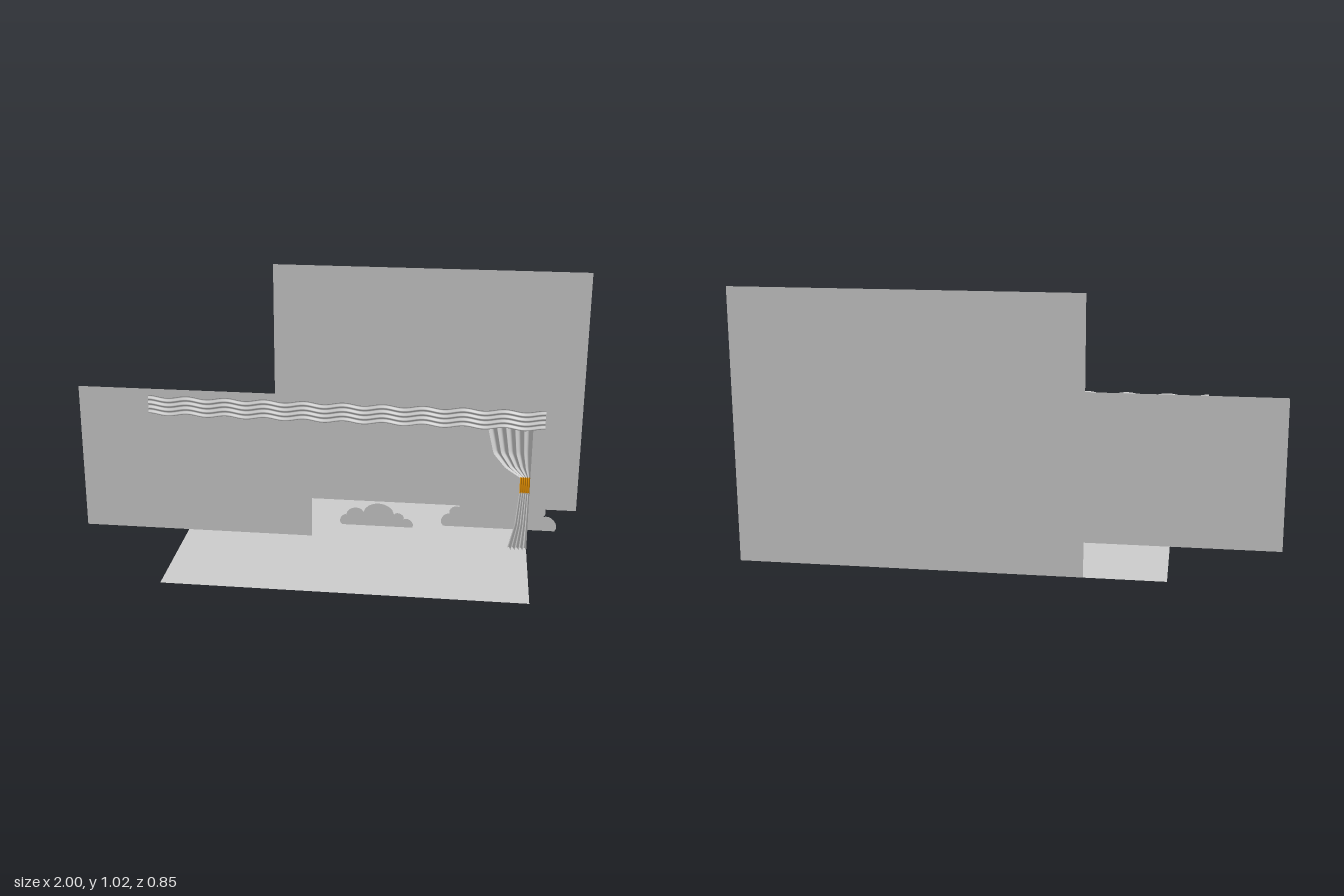
import * as THREE from 'three';

const grey = new THREE.MeshStandardMaterial({ color: 0xcccccc, side: THREE.DoubleSide });
const orange = new THREE.MeshStandardMaterial({ color: 0xe69100, side: THREE.DoubleSide });

function add(group, name, geometry, material = grey) {
  const mesh = new THREE.Mesh(geometry, material);
  mesh.name = name;
  group.add(mesh);
  return mesh;
}

// Upright flat panel from x0 to x1, standing on the floor
function panel(x0, x1, height, z) {
  return new THREE.PlaneGeometry(x1 - x0, height).translate((x0 + x1) / 2, height / 2, z);
}

// Sheet whose vertices come from a rule point(u, v), v running upwards
function sheet(nu, nv, point) {
  const geometry = new THREE.PlaneGeometry(1, 1, nu, nv);
  const pos = geometry.attributes.position;
  for (let i = 0; i < pos.count; i++) {
    pos.setXYZ(i, ...point(pos.getX(i) + 0.5, pos.getY(i) + 0.5));
  }
  geometry.computeVertexNormals();
  return geometry;
}

// Flat cloud: rounded lobes bulging outward between the valley points
function cloud(valleys, z) {
  const shape = new THREE.Shape();
  shape.moveTo(...valleys[0]);
  for (let i = 1; i < valleys.length; i++) {
    const [ax, ay] = valleys[i - 1], [bx, by] = valleys[i];
    const dx = bx - ax, dy = by - ay, b = 0.45;
    shape.bezierCurveTo(
      ax + dx * 0.1 - dy * b, ay + dy * 0.1 + dx * b,
      bx - dx * 0.1 - dy * b, by - dy * 0.1 + dx * b, bx, by);
  }
  shape.closePath();
  return new THREE.ShapeGeometry(shape, 8).translate(0, 0, z);
}

// Interpolates rows [y, left edge x, front z] smoothly along y
const rows = [
  [0, 0.705, -0.015], [0.1, 0.73, -0.022], [0.235, 0.743, -0.031], [0.3, 0.743, -0.031],
  [0.34, 0.685, -0.026], [0.4, 0.637, -0.019], [0.505, 0.612, -0.016], [0.555, 0.605, -0.016],
];
function rowAt(y) {
  let i = 1;
  while (i < rows.length - 1 && y > rows[i][0]) i++;
  const [a, b] = [rows[i - 1], rows[i]];
  const t = (y - a[0]) / (b[0] - a[0]);
  return [1, 2].map(k => a[k] + (b[k] - a[k]) * t);
}

// Pleated drape between two heights, its outer edge hanging straight
function drape(y0, y1, nv) {
  const right = 0.782, back = -0.041, folds = 5;
  return sheet(80, nv, (u, v) => {
    const y = y0 + (y1 - y0) * v;
    const [left, front] = rowAt(y);
    const phase = u * folds * Math.PI * 2;
    const x = left + (right - left) * (u - 0.02 * Math.sin(phase));
    return [x, y, back + (front - back) * (0.5 + 0.5 * Math.cos(phase))];
  });
}

export function createModel() {
  const group = new THREE.Group();
  group.name = 'stageSet';

  // Floor and the two standing backdrops
  add(group, 'stageFloor',
    new THREE.PlaneGeometry(1.357, 0.85).rotateX(-Math.PI / 2).translate(0.103, 0, 0));
  add(group, 'backWall', panel(-0.277, 1, 1.023, -0.425));
  add(group, 'sidePanel', panel(-1, -0.07, 0.597, -0.05));

  // Standing clouds
  add(group, 'smallCloud', cloud([
    [0.037, 0], [0.055, 0.045], [0.125, 0.06], [0.25, 0.055], [0.29, 0.035], [0.325, 0],
  ], -0.175));
  add(group, 'largeCloud', cloud([
    [0.45, 0], [0.475, 0.055], [0.515, 0.085], [0.6, 0.155],
    [0.74, 0.165], [0.83, 0.115], [0.85, 0.06], [0.9, 0],
  ], -0.21));

  // Small hanging oval clouds
  for (const [x, y, z] of [[0.191, 0.384, -0.13], [0.528, 0.258, -0.087]]) {
    add(group, 'hangingCloud',
      new THREE.CircleGeometry(1, 12).scale(0.061, 0.028, 1).translate(x, y, z));
  }

  // Valance: horizontal ripples that swag along its length
  add(group, 'valance', sheet(120, 48, (u, v) => [
    -0.705 + 1.53 * u,
    0.51 + 0.075 * v + 0.005 * Math.cos(u * 10 * Math.PI * 2),
    0.004 + 0.004 * Math.sin(v * 4 * Math.PI * 2),
  ]));

  // Gathered curtain with its tie
  const curtain = new THREE.Group();
  curtain.name = 'curtain';
  add(curtain, 'lowerDrape', drape(0, 0.235, 16));
  add(curtain, 'curtainTie', drape(0.235, 0.3, 2), orange);
  add(curtain, 'upperDrape', drape(0.3, 0.555, 24));
  group.add(curtain);

  return group;
}
